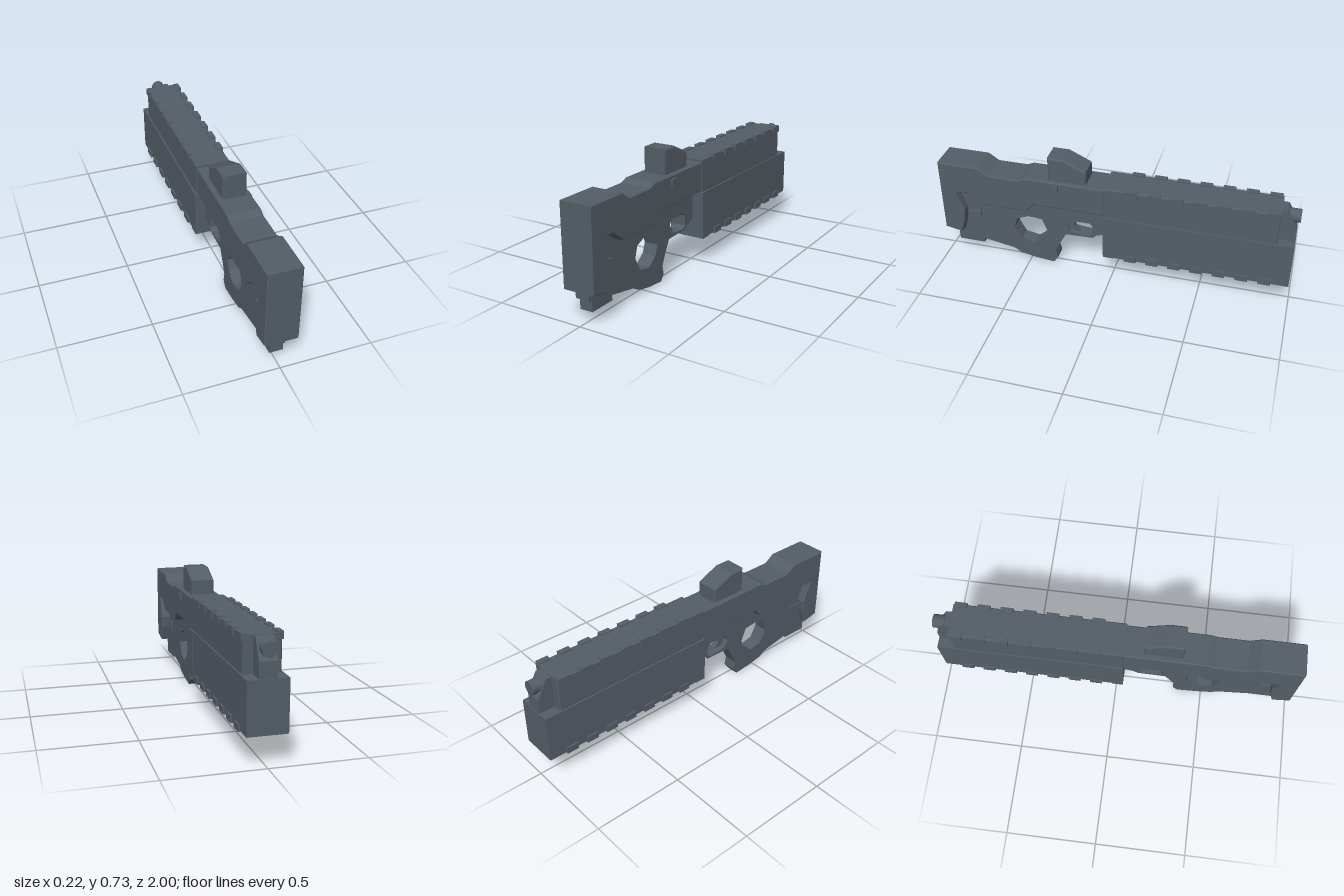
import * as THREE from 'three';

export function createModel() {
  const model = new THREE.Group();
  const slate = new THREE.MeshStandardMaterial({ color: 0x545d66 });
  slate.name = 'slate grey';

  function add(name, geometry) {
    const mesh = new THREE.Mesh(geometry, slate);
    mesh.name = name;
    model.add(mesh);
    return mesh;
  }

  // Box from its extents on each axis
  function box(name, x0, x1, y0, y1, z0, z1) {
    const g = new THREE.BoxGeometry(x1 - x0, y1 - y0, z1 - z0);
    g.translate((x0 + x1) / 2, (y0 + y1) / 2, (z0 + z1) / 2);
    return add(name, g);
  }

  // Side profile of [z, y] points, extruded across x
  function slab(name, x0, x1, points, bevel = 0, holes = []) {
    const toVectors = list => list.map(([z, y]) => new THREE.Vector2(-z, y));
    const shape = new THREE.Shape(toVectors(points));
    for (const hole of holes) shape.holes.push(new THREE.Path(toVectors(hole)));
    const g = new THREE.ExtrudeGeometry(shape, {
      depth: x1 - x0 - 2 * bevel, bevelEnabled: bevel > 0, bevelThickness: bevel,
      bevelSize: bevel, bevelOffset: -bevel, bevelSegments: 1,
    });
    g.rotateY(Math.PI / 2);
    g.translate(x0 + bevel, 0, 0);
    return add(name, g);
  }

  // Wide upper shell forming the stock and receiver
  slab('stockShell', -0.09, 0.09, [
    [1, 0.615], [1, 0.175], [0.9, 0.155], [0.875, 0.24], [0.87, 0.31], [0.915, 0.43],
    [0.84, 0.435], [0.76, 0.375], [0.49, 0.375], [0.445, 0.425], [-0.02, 0.425],
    [-0.02, 0.592], [0.49, 0.592], [0.53, 0.575], [0.7, 0.575], [0.76, 0.615],
  ], 0.006);

  // Narrow lower frame with thumbhole and trigger opening
  slab('gripFrame', -0.045, 0.035, [
    [0.965, 0.4], [0.965, 0.125], [0.79, 0.09], [0.6, 0.055], [0.56, 0.028], [0.47, 0.01],
    [0.36, 0], [0.335, 0.035], [0.345, 0.085], [0.325, 0.13], [0.28, 0.215],
    [0.12, 0.22], [0.1, 0.24], [0.02, 0.265], [0.02, 0.45], [0.45, 0.45],
    [0.5, 0.4], [0.76, 0.4], [0.83, 0.43], [0.9, 0.42],
  ], 0, [
    [[0.59, 0.21], [0.57, 0.275], [0.5, 0.302], [0.42, 0.295], [0.39, 0.22],
      [0.41, 0.165], [0.47, 0.12], [0.55, 0.135]],
    [[0.275, 0.28], [0.255, 0.317], [0.14, 0.317], [0.12, 0.3], [0.12, 0.242],
      [0.14, 0.228], [0.2, 0.232], [0.255, 0.242]],
  ]);
  slab('trigger', -0.015, 0.01, [
    [0.28, 0.28], [0.257, 0.32], [0.21, 0.32], [0.235, 0.29], [0.23, 0.265], [0.2, 0.235], [0.257, 0.238],
  ]);

  // Block and clip under the stock
  box('stockFoot', -0.037, 0.036, 0.062, 0.24, 0.79, 0.945);
  box('stockPost', -0.047, 0.037, 0.23, 0.32, 0.79, 0.87);
  box('stockClip', -0.055, 0.047, 0.258, 0.29, 0.79, 0.87);

  // Sight housing with a sloping front, and side button
  slab('sight', -0.063, 0.066, [
    [0.36, 0.57], [0.145, 0.57], [0.145, 0.672], [0.27, 0.73], [0.36, 0.73],
  ], 0.008);
  box('sideButton', 0.08, 0.102, 0.537, 0.571, 0.296, 0.342);

  // Long fore-end: wide lower half, slimmer upper half, rear collar
  box('lowerForeEnd', -0.102, 0.102, 0.155, 0.42, -0.99, 0.03);
  box('foreEndCollar', -0.105, 0.105, 0.153, 0.422, -0.02, 0.043);
  slab('upperForeEnd', -0.094, 0.094, [
    [0.043, 0.4], [-0.9, 0.4], [-0.9, 0.605], [0.043, 0.605],
  ], 0.006);

  // Sloped muzzle support with the barrel through it
  slab('muzzleSupport', -0.045, 0.045, [
    [-0.88, 0.415], [-0.985, 0.415], [-0.985, 0.5], [-0.93, 0.602], [-0.88, 0.602],
  ]);
  const barrel = new THREE.CylinderGeometry(0.037, 0.037, 0.1, 16);
  barrel.rotateX(Math.PI / 2);
  barrel.translate(0, 0.557, -0.95);
  add('barrel', barrel);

  // Rail lugs along all four long edges
  for (let i = 0; i < 7; i++) {
    const z = -0.112 - i * 0.1245;
    for (const side of [-1, 1]) {
      const lug = (name, inner, outer, y0, y1) => box(name,
        Math.min(side * inner, side * outer), Math.max(side * inner, side * outer),
        y0, y1, z - 0.034, z + 0.034);
      lug('upperRailLug', 0.07, 0.102, 0.574, 0.612);
      lug('lowerRailLug', 0.078, 0.111, 0.149, 0.186);
    }
  }
  return model;
}
